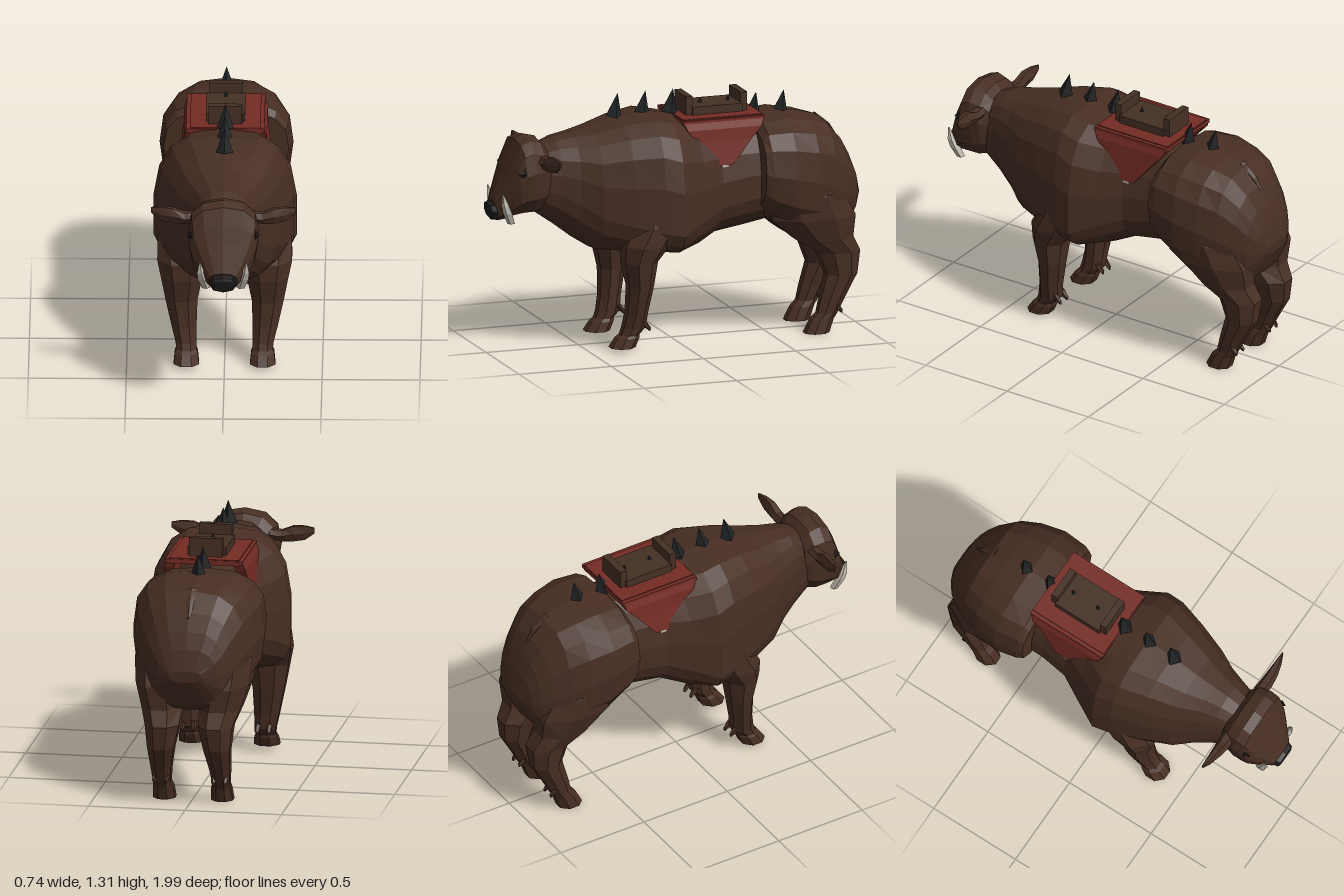
import * as THREE from 'three';

const mat = (name, color) => Object.assign(new THREE.MeshStandardMaterial({ color }), { name });

// Flat-shaded skin over a list of closed rings, capped at both ends and turned outward
function loft(rings) {
  const n = rings[0].length, tris = [];
  for (let i = 0; i < rings.length - 1; i++) {
    for (let j = 0; j < n; j++) {
      const k = (j + 1) % n;
      const a = rings[i][j], b = rings[i][k], c = rings[i + 1][k], d = rings[i + 1][j];
      tris.push([a, b, c], [a, c, d]);
    }
  }
  for (const [ring, flip] of [[rings[0], true], [rings[rings.length - 1], false]]) {
    const mid = ring.reduce((s, p) => s.add(p), new THREE.Vector3()).divideScalar(n);
    ring.forEach((p, j) => {
      const q = ring[(j + 1) % n];
      tris.push(flip ? [mid, q, p] : [mid, p, q]);
    });
  }
  const cross = new THREE.Vector3();
  const volume = tris.reduce((s, [a, b, c]) => s + a.dot(cross.crossVectors(b, c)), 0);
  if (volume < 0) tris.forEach((t) => t.reverse());
  const g = new THREE.BufferGeometry().setFromPoints(tris.flat());
  g.computeVertexNormals();
  return g;
}

const bend = (v, e) => Math.sign(v) * Math.pow(Math.abs(v), 2 / e);

// Upright ring: z and y of its top and bottom, half width, height fraction of the widest point, squareness
function section(zt, yt, zb, yb, w, f, n = 14, e = 2.3) {
  return Array.from({ length: n }, (_, i) => {
    const a = (i / n) * Math.PI * 2;
    const s = bend(Math.cos(a), e);
    const t = s > 0 ? f + s * (1 - f) : f + s * f;
    return new THREE.Vector3(w * bend(Math.sin(a), e), yb + (yt - yb) * t, zb + (zt - zb) * t);
  });
}

// Level ring at height y for legs
function level(y, z, hz, x, hx, n = 8) {
  return Array.from({ length: n }, (_, i) => {
    const a = ((i + 0.5) / n) * Math.PI * 2;
    return new THREE.Vector3(x + hx * 1.06 * Math.cos(a), y, z + hz * 1.06 * Math.sin(a));
  });
}

export function createModel() {
  const model = new THREE.Group();
  const hide = mat('brown hide', 0x472e23);
  const red = mat('red cloth', 0x742c24);
  const leather = mat('seat leather', 0x453025);
  const dark = mat('dark horn', 0x202325);
  const ivory = mat('ivory', 0xc4beb0);
  const black = mat('nose black', 0x1d1b1b);

  const add = (name, geometry, material, parent = model) => {
    const m = new THREE.Mesh(geometry, material);
    m.name = name;
    parent.add(m);
    return m;
  };
  const box = (name, w, h, d, x, y, z, material) =>
    add(name, new THREE.BoxGeometry(w, h, d), material).position.set(x, y, z);

  // Barrel of the body: z, top, bottom, half width, widest fraction, squareness
  add('body', loft([
    [0.74, 1.07, 0.72, 0.13, 0.5, 2.3], [0.64, 1.11, 0.65, 0.16, 0.5, 2.4], [0.55, 1.125, 0.58, 0.195, 0.48, 2.5],
    [0.45, 1.145, 0.515, 0.255, 0.42, 2.6], [0.3, 1.185, 0.5, 0.31, 0.35, 2.9], [0.15, 1.205, 0.5, 0.355, 0.28, 3.2],
    [0.05, 1.187, 0.48, 0.37, 0.27, 3], [-0.08, 1.165, 0.495, 0.31, 0.34, 2.4], [-0.2, 1.145, 0.55, 0.25, 0.36, 2.3],
    [-0.34, 1.14, 0.57, 0.235, 0.38, 2.3], [-0.5, 1.13, 0.6, 0.24, 0.4, 2.3],
  ].map(([z, t, b, w, f, e]) => section(z, t, z, b, w, f, 18, e))), hide);

  // Rump, wider than the barrel and running down into the thighs
  add('rump', loft([
    [-0.41, 1.1, -0.41, 0.68, 0.32, 0.5], [-0.44, 1.14, -0.45, 0.62, 0.33, 0.5], [-0.57, 1.155, -0.57, 0.55, 0.342, 0.5],
    [-0.7, 1.135, -0.7, 0.51, 0.318, 0.5], [-0.8, 1.105, -0.8, 0.49, 0.28, 0.48], [-0.88, 1.015, -0.88, 0.5, 0.232, 0.46],
    [-0.93, 0.925, -0.92, 0.53, 0.195, 0.44], [-0.965, 0.84, -0.95, 0.59, 0.155, 0.42], [-0.993, 0.73, -0.988, 0.67, 0.085, 0.5],
  ].map(([zt, t, zb, b, w, f]) => section(zt, t, zb, b, w, f, 16, 2.7))), hide);
  add('tail', loft([
    section(-0.78, 1.12, -0.78, 1.09, 0.025, 0.5, 6), section(-0.86, 1.055, -0.85, 1.02, 0.022, 0.5, 6),
    section(-0.9, 0.99, -0.89, 0.98, 0.01, 0.5, 6),
  ]), hide);

  // Head tapering down to the snout
  add('head', loft([
    [0.7, 1.07, 0.68, 0.78, 0.14], [0.74, 1.12, 0.73, 0.735, 0.17], [0.8, 1.135, 0.77, 0.72, 0.183],
    [0.85, 1.115, 0.82, 0.72, 0.182], [0.885, 1.03, 0.85, 0.72, 0.17], [0.915, 0.95, 0.88, 0.715, 0.143],
    [0.955, 0.85, 0.92, 0.7, 0.1], [0.975, 0.8, 0.95, 0.695, 0.075],
  ].map(([zt, t, zb, b, w]) => section(zt, t, zb, b, w, 0.58, 12, 2.5))), hide);
  add('nose', loft([
    section(0.965, 0.797, 0.94, 0.692, 0.075, 0.6, 8, 2.6), section(0.995, 0.785, 0.975, 0.697, 0.066, 0.6, 8, 2.6),
    section(1.0, 0.77, 0.985, 0.71, 0.05, 0.6, 8, 2.6),
  ]), black);

  for (const s of [1, -1]) {
    const side = new THREE.Group();
    side.name = s > 0 ? 'leftSide' : 'rightSide';
    model.add(side);
    const put = (name, rings, material) => add(name,
      loft(rings.map((r) => r.map((p) => new THREE.Vector3(p.x * s, p.y, p.z)))), material, side);

    // Legs, top to hoof
    put('frontLeg', [
      [0.8, 0.15, 0.08, 0.23, 0.08], [0.66, 0.16, 0.13, 0.232, 0.112], [0.56, 0.215, 0.125, 0.225, 0.122],
      [0.47, 0.25, 0.09, 0.22, 0.107], [0.34, 0.245, 0.066, 0.22, 0.083], [0.2, 0.26, 0.056, 0.207, 0.065],
      [0.12, 0.272, 0.06, 0.197, 0.055], [0.085, 0.295, 0.05, 0.195, 0.052], [0.07, 0.305, 0.06, 0.195, 0.06],
      [0.02, 0.333, 0.066, 0.195, 0.066],
    ].map((r) => level(...r)), hide);
    put('hindLeg', [
      [0.85, -0.64, 0.13, 0.18, 0.1], [0.74, -0.665, 0.2, 0.18, 0.125], [0.62, -0.7, 0.23, 0.17, 0.125],
      [0.5, -0.77, 0.155, 0.15, 0.108], [0.42, -0.855, 0.113, 0.138, 0.09], [0.3, -0.87, 0.083, 0.145, 0.07],
      [0.18, -0.82, 0.066, 0.152, 0.054], [0.1, -0.79, 0.055, 0.153, 0.046], [0.07, -0.765, 0.06, 0.15, 0.052],
      [0, -0.735, 0.066, 0.15, 0.058],
    ].map((r) => level(...r)), hide);

    // Dewclaws behind the hooves
    for (const [x, z] of [[0.195, 0.2], [0.153, -0.855]]) {
      for (const o of [-0.03, 0.03]) {
        put('dewclaw', [level(0.15, z + 0.03, 0.02, x + o, 0.016, 5), level(0.115, z, 0.014, x + o, 0.012, 5),
          level(0.1, z - 0.008, 0.004, x + o, 0.004, 5)], hide);
      }
    }

    // Ear rings across x: x, y, half height, z, half depth
    put('ear', [
      [0.14, 1.02, 0.028, 0.74, 0.035], [0.2, 1.012, 0.033, 0.742, 0.034], [0.26, 1.025, 0.046, 0.742, 0.028],
      [0.32, 1.032, 0.042, 0.736, 0.018], [0.37, 1.047, 0.017, 0.728, 0.005],
    ].map(([x, y, hy, z, hz]) => Array.from({ length: 6 }, (_, i) => new THREE.Vector3(
      x, y + hy * Math.sin(i * Math.PI / 3), z + hz * Math.cos(i * Math.PI / 3)))), hide);

    // Upturned tusk
    put('tusk', [
      [0.69, 0.895, 0.02, 0.09, 0.021], [0.75, 0.92, 0.024, 0.107, 0.026],
      [0.79, 0.935, 0.02, 0.116, 0.02], [0.85, 0.95, 0.004, 0.119, 0.004],
    ].map((r) => level(...r, 5)), ivory);

    // Eye
    const eye = add('eye', new THREE.OctahedronGeometry(1), black, side);
    eye.scale.set(0.016, 0.03, 0.03);
    eye.position.set(s * 0.166, 0.962, 0.853);

    // Hanging cloth flap, narrowing downward, with a buckle at its end
    const flap = [[1.17, 0.0, -0.435, 0.185], [1.125, -0.02, -0.42, 0.2], [1.06, -0.065, -0.36, 0.205],
      [0.94, -0.18, -0.26, 0.222]];
    put('clothFlap', flap.map(([y, zf, zb, x]) => [
      new THREE.Vector3(x - 0.04, y, zf), new THREE.Vector3(x + 0.012, y, zf),
      new THREE.Vector3(x + 0.012, y, zb), new THREE.Vector3(x - 0.04, y, zb)]), red);
    box('buckle', 0.02, 0.012, 0.035, s * 0.222, 0.933, -0.215, ivory);
  }

  // Saddle cloth and seat
  box('saddleCloth', 0.4, 0.02, 0.44, 0, 1.165, -0.22, red);
  box('saddlePad', 0.36, 0.03, 0.43, 0, 1.165, -0.22, red);
  box('seat', 0.2, 0.05, 0.27, 0, 1.197, -0.22, leather);
  for (const z of [-0.07, -0.367]) box('seatEnd', 0.172, 0.105, 0.036, 0, 1.225, z, leather);

  // Row of back spikes leaning rearward
  [0.3, 0.15, 0, -0.15, -0.3, -0.45, -0.6].forEach((z, i) => {
    const top = i < 3 ? 1.307 : 1.252;
    const cone = add('spike', new THREE.ConeGeometry(0.044, 0.125, 4).toNonIndexed(), dark);
    cone.geometry.computeVertexNormals();
    cone.position.set(0, top - 0.062, z - 0.002);
    cone.rotation.x = -0.18;
  });
  return model;
}
